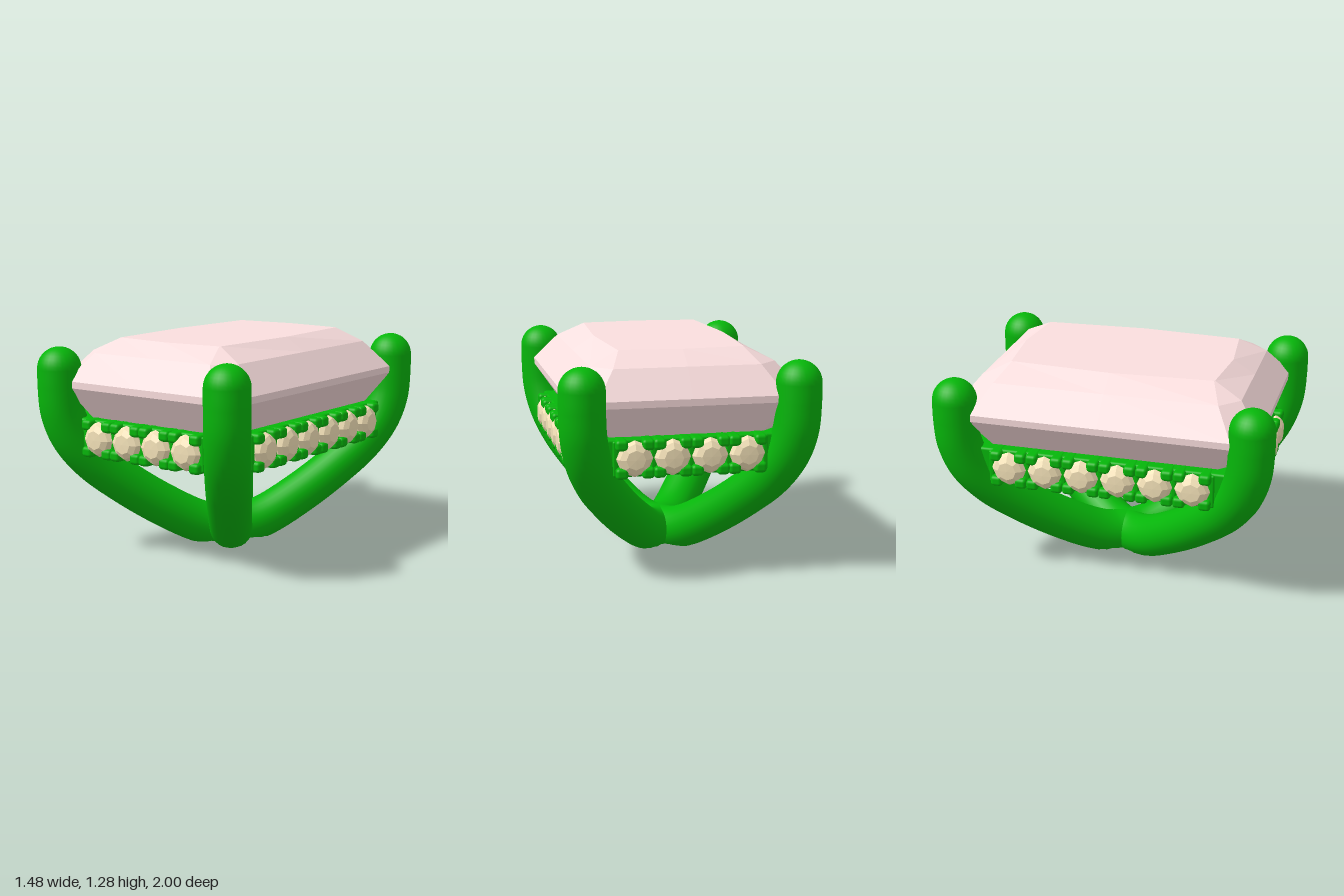
import * as THREE from 'three';
import { RoundedBoxGeometry } from 'three/addons/geometries/RoundedBoxGeometry.js';

const metal = new THREE.MeshStandardMaterial({ color: 0x06b60a });
const pink = new THREE.MeshStandardMaterial({ color: 0xfadede, flatShading: true });
const cream = new THREE.MeshStandardMaterial({ color: 0xf6e4ba, flatShading: true });

function add(parent, name, geometry, material, x = 0, y = 0, z = 0) {
  const mesh = new THREE.Mesh(geometry, material);
  mesh.name = name;
  mesh.position.set(x, y, z);
  parent.add(mesh);
  return mesh;
}

// Rectangle with cut corners; mid is how far the side middles bow out
function ring(y, hx, hz, cut, mid = 0) {
  return [
    [hx, cut - hz], [hx + mid, 0], [hx, hz - cut],
    [hx - cut, hz], [0, hz + mid], [cut - hx, hz],
    [-hx, hz - cut], [-hx - mid, 0], [-hx, cut - hz],
    [cut - hx, -hz], [0, -hz - mid], [hx - cut, -hz],
  ].map(([x, z]) => [x, y, z]);
}

// Step-cut centre stone, built from rings bottom to top
function gemGeometry() {
  const rings = [
    ring(0.402, 0, 0, 0),
    ring(0.76, 0.5, 0.74, 0.1),
    ring(1.008, 0.67, 0.9, 0.14),
    ring(1.047, 0.67, 0.9, 0.14),
    ring(1.205, 0.53, 0.77, 0.11),
    ring(1.285, 0.365, 0.605, 0.005, 0.035),
    ring(1.285, 0, 0, 0),
  ];
  const pos = [];
  for (let r = 0; r < rings.length - 1; r++) {
    const lo = rings[r], up = rings[r + 1];
    for (let i = 0; i < 12; i++) {
      const j = (i + 1) % 12;
      if (r < rings.length - 2) pos.push(...lo[i], ...up[i], ...up[j]);
      if (r > 0) pos.push(...lo[i], ...up[j], ...lo[j]);
    }
  }
  const g = new THREE.BufferGeometry();
  g.setAttribute('position', new THREE.Float32BufferAttribute(pos, 3));
  g.computeVertexNormals();
  return g;
}

// Prong sweeping from the domed tip down to the base; [outward x, height]
const PRONG = [[0.61, 1.11], [0.61, 1.0], [0.602, 0.85], [0.568, 0.7], [0.498, 0.55],
  [0.39, 0.4], [0.26, 0.25], [0.13, 0.128], [0.06, 0.09], [0, 0.085]];
const R = 0.13;

function prong(sx, sz) {
  const g = new THREE.Group();
  g.name = 'prong';
  const path = new THREE.CatmullRomCurve3(
    PRONG.map(([x, y]) => new THREE.Vector3(sx * x, y, sz * x * 1.426)), false, 'centripetal');
  const tube = new THREE.TubeGeometry(path, 90, R, 28);
  const p = tube.attributes.position;
  // Trim the underside to a shallow hollow
  for (let i = 0; i < p.count; i++) {
    const floor = 0.03 * Math.max(0, 1 - Math.hypot(p.getX(i), p.getZ(i)) / 0.24);
    p.setY(i, Math.max(floor, p.getY(i)));
  }
  add(g, 'prongShaft', tube, metal);
  add(g, 'prongTip', new THREE.SphereGeometry(R, 28, 18), metal, sx * 0.61, 1.11, sz * 0.87);
  return g;
}

// Small round stone facing +z
const smallStone = new THREE.LatheGeometry(
  [[0, -0.06], [0.095, -0.012], [0.104, 0.005], [0.088, 0.03], [0.055, 0.05], [0, 0.052]]
    .map(([x, y]) => new THREE.Vector2(x, y)), 8).rotateX(Math.PI / 2);
const claw = new RoundedBoxGeometry(0.07, 0.062, 0.13, 3, 0.02);

// Rail facing +z holding a row of small stones gripped by claws
function rail(count, pitch, length, depth) {
  const g = new THREE.Group();
  g.name = 'galleryRail';
  add(g, 'railBody', new RoundedBoxGeometry(length, 0.215, depth, 3, 0.015), metal, 0, 0, -depth / 2 - 0.005);
  for (let i = 0; i < count; i++) {
    const x = (i - (count - 1) / 2) * pitch;
    add(g, 'smallStone', smallStone, cream, x, 0, 0.005);
    for (const sx of [-1, 1]) {
      for (const sy of [-1, 1]) add(g, 'claw', claw, metal, x + sx * 0.074, sy * 0.079, -0.02);
    }
  }
  // Dividers between stones
  for (let i = 0; i <= count; i++) {
    add(g, 'divider', new RoundedBoxGeometry(0.03, 0.2, 0.06, 2, 0.01), metal,
      (i - count / 2) * pitch, 0, -0.02);
  }
  return g;
}

export function createModel() {
  const model = new THREE.Group();
  model.name = 'gemSetting';
  add(model, 'centreGem', gemGeometry(), pink);

  for (const sx of [-1, 1]) for (const sz of [-1, 1]) model.add(prong(sx, sz));

  // Four rails, one per side
  for (let k = 0; k < 4; k++) {
    const side = k % 2 === 1;
    const r = side ? rail(6, 0.218, 1.52, 0.24) : rail(4, 0.213, 1.06, 0.25);
    const d = side ? 0.62 : 0.85;
    const a = k * Math.PI / 2;
    r.rotation.y = a;
    r.position.set(Math.sin(a) * d, 0.72, Math.cos(a) * d);
    model.add(r);
  }
  return model;
}
